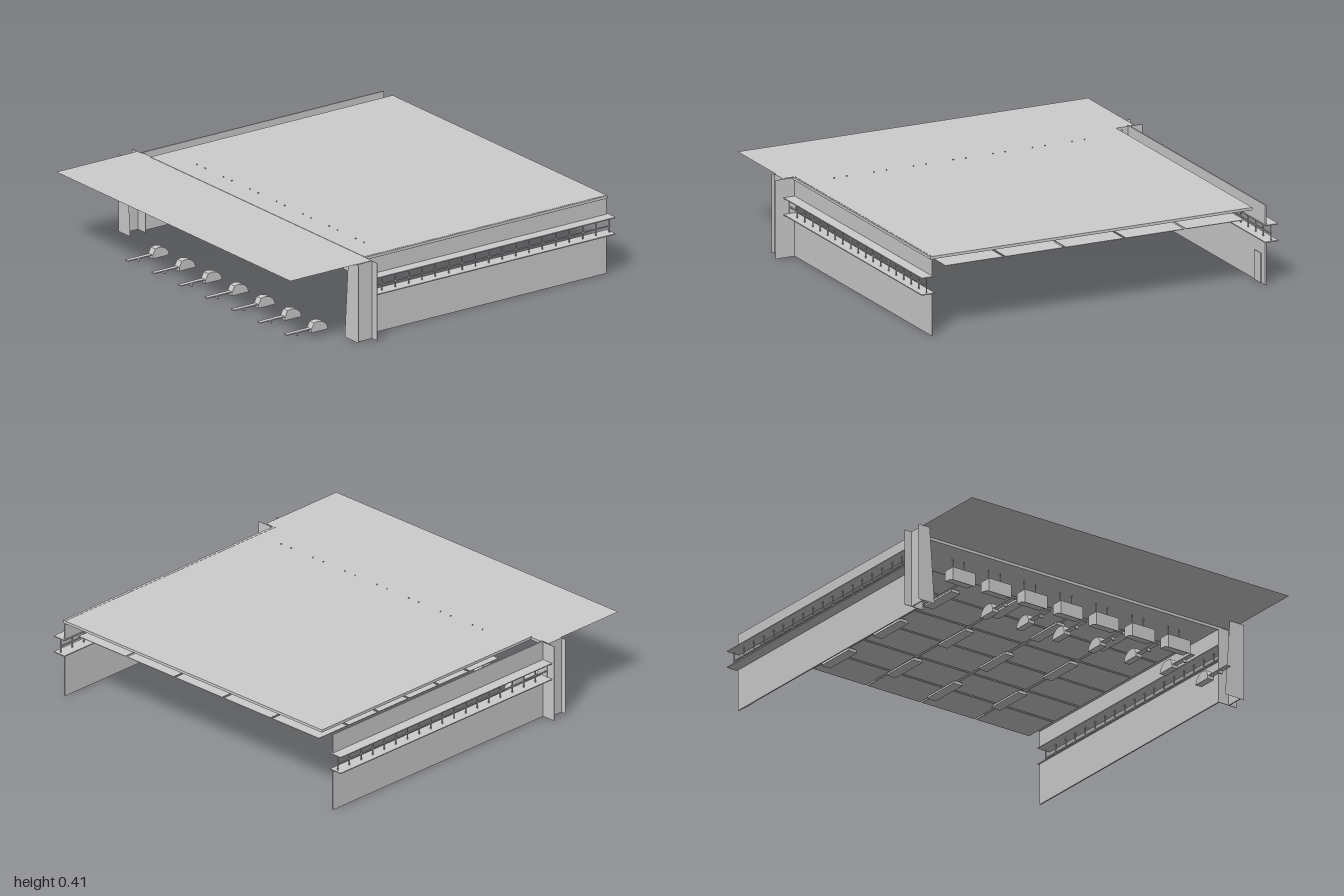
import * as THREE from 'three';

const mat = new THREE.MeshStandardMaterial({ color: 0xcccccc, flatShading: true, side: THREE.DoubleSide });

function add(parent, geo, name) {
  const m = new THREE.Mesh(geo, mat);
  m.name = name;
  parent.add(m);
  return m;
}

// Box given by its limits on each axis
function box(parent, name, x0, x1, y0, y1, z0, z1) {
  const m = add(parent, new THREE.BoxGeometry(x1 - x0, y1 - y0, z1 - z0), name);
  m.position.set((x0 + x1) / 2, (y0 + y1) / 2, (z0 + z1) / 2);
  return m;
}

// Prism from a (z, y) side profile, extruded along x and centred on it
function sideProfile(parent, name, pts, width) {
  const shape = new THREE.Shape(pts.map(([z, y]) => new THREE.Vector2(-z, y)));
  const geo = new THREE.ExtrudeGeometry(shape, { depth: width, bevelEnabled: false });
  geo.translate(0, 0, -width / 2).rotateY(Math.PI / 2);
  return add(parent, geo, name);
}

function group(parent, name) {
  const g = new THREE.Group();
  g.name = name;
  parent.add(g);
  return g;
}

const BACK = -0.97, FRONT = 0.49, MID = -0.015;

// One long side: lower wall, window band with ledges, and upper fascia
function sideWall(parent, s) {
  const g = group(parent, s > 0 ? 'leftWall' : 'rightWall');
  const slab = (name, a, b, y0, y1, z0, z1) => {
    const xs = [MID + s * a, MID + s * b].sort((p, q) => p - q);
    return box(g, name, xs[0], xs[1], y0, y1, z0, z1);
  };
  slab('lowerWall', 0.905, 0.912, 0, 0.218, BACK, FRONT);
  slab('fascia', 0.905, 0.912, 0.303, 0.405, BACK, FRONT);
  slab('lowerLedge', 0.9, 0.972, 0.216, 0.221, BACK - 0.01, FRONT);
  slab('upperLedge', 0.9, 0.972, 0.301, 0.306, BACK - 0.01, FRONT);
  slab('windowRail', 0.936, 0.942, 0.252, 0.257, BACK, FRONT);
  const n = 18;
  for (let i = 0; i <= n; i++) {
    const z = BACK + 0.004 + (FRONT - BACK - 0.008) * i / n;
    slab('mullion', 0.936, 0.942, 0.221, 0.301, z - 0.002, z + 0.002);
  }
  if (s < 0) slab('door', 0.901, 0.905, 0, 0.15, -0.93, -0.86);
}

// Thin folded post at the front corner
function cornerPost(parent, s) {
  const g = group(parent, s > 0 ? 'leftPost' : 'rightPost');
  const x = (v) => s > 0 ? v : -v - 0.027;
  const plate = new THREE.Shape([
    new THREE.Vector2(x(0.862), 0), new THREE.Vector2(s > 0 ? 0.975 : -0.985, 0),
    new THREE.Vector2(s > 0 ? 0.975 : -0.985, 0.4), new THREE.Vector2(x(0.89), 0.4),
  ]);
  add(g, new THREE.ShapeGeometry(plate), 'frontPlate').position.z = 0.583;
  const sx = s * 0.955;
  box(g, 'sidePlate', sx - 0.003, sx + 0.003, 0, 0.4, FRONT, 0.583);
  const ends = [s * 0.89, s * 1].sort((a, b) => a - b);
  box(g, 'backPlate', ends[0], ends[1], 0, 0.4, FRONT - 0.003, FRONT);
}

// Hanging target box with its two rods
function hanger(parent, x) {
  const g = group(parent, 'hangingBooth');
  g.position.x = x;
  sideProfile(g, 'boothBody', [[0.425, 0.32], [0.36, 0.32], [0.36, 0.265], [0.395, 0.262], [0.425, 0.25]], 0.135);
  for (const s of [-1, 1]) {
    const rod = add(g, new THREE.CylinderGeometry(0.003, 0.003, 0.09, 6), 'rod');
    rod.position.set(s * 0.034, 0.364, 0.375);
  }
}

// Ground unit: humped body with a narrow tongue to the front
function groundUnit(parent, x) {
  const g = group(parent, 'groundUnit');
  g.position.x = x;
  sideProfile(g, 'body', [[0.68, 0], [0.58, 0], [0.588, 0.025], [0.61, 0.045], [0.64, 0.052], [0.665, 0.048], [0.68, 0.02]], 0.037);
  box(g, 'tongue', -0.012, 0.012, 0.015, 0.02, 0.67, 0.825);
  box(g, 'tongueLeg', -0.01, 0.01, 0, 0.016, 0.755, 0.762);
}

export function createModel() {
  const model = new THREE.Group();
  model.name = 'rangeHall';

  // Roof slab and thin front canopy
  box(model, 'roof', -0.85, 0.905, 0.39, 0.404, BACK, FRONT);
  box(model, 'frontBeam', -0.915, 0.89, 0.388, 0.402, FRONT - 0.008, FRONT);
  const canopy = add(model, new THREE.PlaneGeometry(1.91, 0.49), 'canopy');
  canopy.rotation.x = -Math.PI / 2;
  canopy.position.set(0, 0.402, 0.735);

  for (const s of [-1, 1]) {
    sideWall(model, s);
    cornerPost(model, s);
  }

  // Suspended ceiling panels with narrow gaps
  const ceiling = group(model, 'ceiling');
  const cols = 5, rows = 6, w = 1.64 / cols, d = 1.26 / rows;
  for (let i = 0; i < cols; i++) {
    for (let j = 0; j < rows; j++) {
      const x = -0.82 + i * w, z = -0.96 + j * d;
      box(ceiling, 'ceilingPanel', x + 0.006, x + w - 0.006, 0.339, 0.342, z + 0.006, z + d - 0.006);
    }
  }

  // Strip lights under the ceiling, staggered by column
  const section = new THREE.Shape([[-0.02, 0.33], [-0.028, 0.315], [0.028, 0.315], [0.02, 0.33]]
    .map(([x, y]) => new THREE.Vector2(x, y)));
  [-0.48, -0.16, 0.155, 0.47].forEach((x, i) => {
    for (let j = 0; j < 3; j++) {
      const geo = new THREE.ExtrudeGeometry(section, { depth: 0.22, bevelEnabled: false });
      add(ceiling, geo, 'stripLight').position.set(x, 0, -0.86 + j * 0.42 + (i % 2) * 0.1);
    }
  });

  // Seven firing lanes
  for (let i = 0; i < 7; i++) {
    const x = -0.592 + i * 0.216;
    hanger(model, x);
    groundUnit(model, x);
  }
  return model;
}
